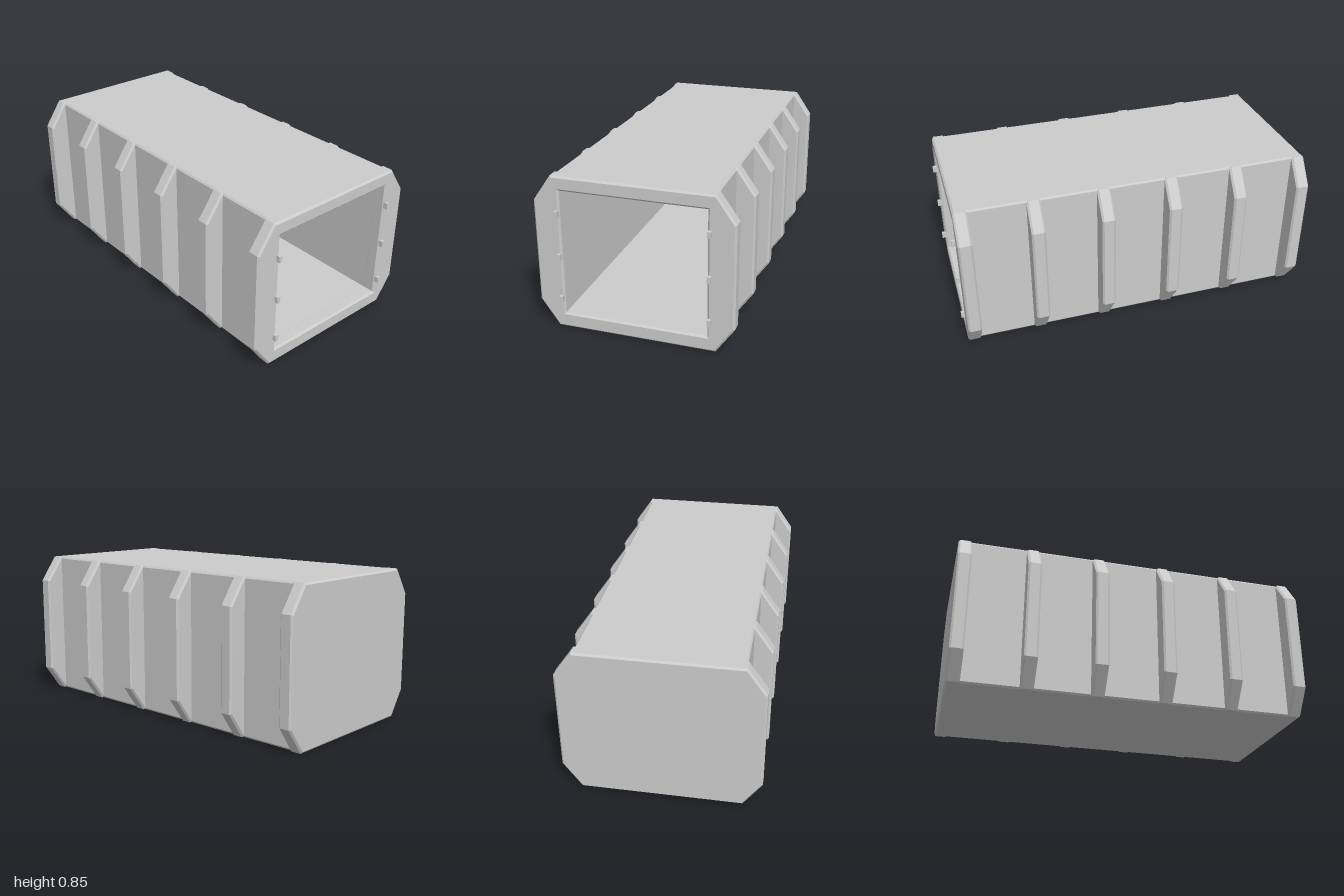
import * as THREE from 'three';

const material = new THREE.MeshStandardMaterial({ color: 0xcccccc, flatShading: true });
const H = 0.85;

function shapeFrom(points) {
  return new THREE.Shape(points.map(([z, y]) => new THREE.Vector2(z, y)));
}

// rectangular opening through a cross-section
function cutOpening(shape, halfZ, y0, y1) {
  const hole = new THREE.Path();
  hole.moveTo(-halfZ, y0);
  hole.lineTo(-halfZ, y1);
  hole.lineTo(halfZ, y1);
  hole.lineTo(halfZ, y0);
  hole.closePath();
  shape.holes.push(hole);
  return shape;
}

// extrude a z/y cross-section along x, from x0 to x1, within its outline
function extrudeAlongX(shape, x0, x1, bevel, name) {
  const geometry = new THREE.ExtrudeGeometry(shape, {
    depth: x1 - x0 - 2 * bevel,
    bevelEnabled: bevel > 0,
    bevelThickness: bevel,
    bevelSize: bevel,
    bevelOffset: -bevel,
    bevelSegments: 1,
  });
  geometry.rotateY(Math.PI / 2);
  geometry.translate(x0 + bevel, 0, 0);
  const mesh = new THREE.Mesh(geometry, material);
  mesh.name = name;
  return mesh;
}

function octagon() {
  return shapeFrom([
    [-0.43, 0], [0.43, 0], [0.53, 0.143], [0.53, 0.707],
    [0.43, H], [-0.43, H], [-0.53, 0.707], [-0.53, 0.143],
  ]);
}

export function createModel() {
  const model = new THREE.Group();
  model.name = 'container';

  // hollow hull with lightly chamfered long edges
  const hull = shapeFrom([
    [-0.417, 0], [0.417, 0], [0.425, 0.01], [0.425, H - 0.01],
    [0.417, H], [-0.417, H], [-0.425, H - 0.01], [-0.425, 0.01],
  ]);
  model.add(extrudeAlongX(cutOpening(hull, 0.39, 0.08, 0.775), -0.985, 0.97, 0, 'hull'));

  // six ribs: a closed end wall, four middle frames, an open end frame
  const ribWidth = 0.075, count = 6;
  for (let i = 0; i < count; i++) {
    const x = -1 + i * (1.98 - ribWidth) / (count - 1);
    const shape = octagon();
    let name = 'endWall';
    if (i === count - 1) {
      cutOpening(shape, 0.387, 0.083, 0.772);
      name = 'openEndFrame';
    } else if (i > 0) {
      cutOpening(shape, 0.4, 0.07, 0.785);
      name = 'rib';
    }
    model.add(extrudeAlongX(shape, x, x + ribWidth, 0.01, name));
  }

  // small hinge blocks on both sides of the opening
  const hingeGeometry = new THREE.BoxGeometry(0.03, 0.035, 0.019);
  for (const side of [-1, 1]) {
    for (const y of [0.17, 0.41, 0.65]) {
      const hinge = new THREE.Mesh(hingeGeometry, material);
      hinge.name = 'hinge';
      hinge.position.set(0.985, y, side * 0.4);
      model.add(hinge);
    }
  }
  return model;
}
